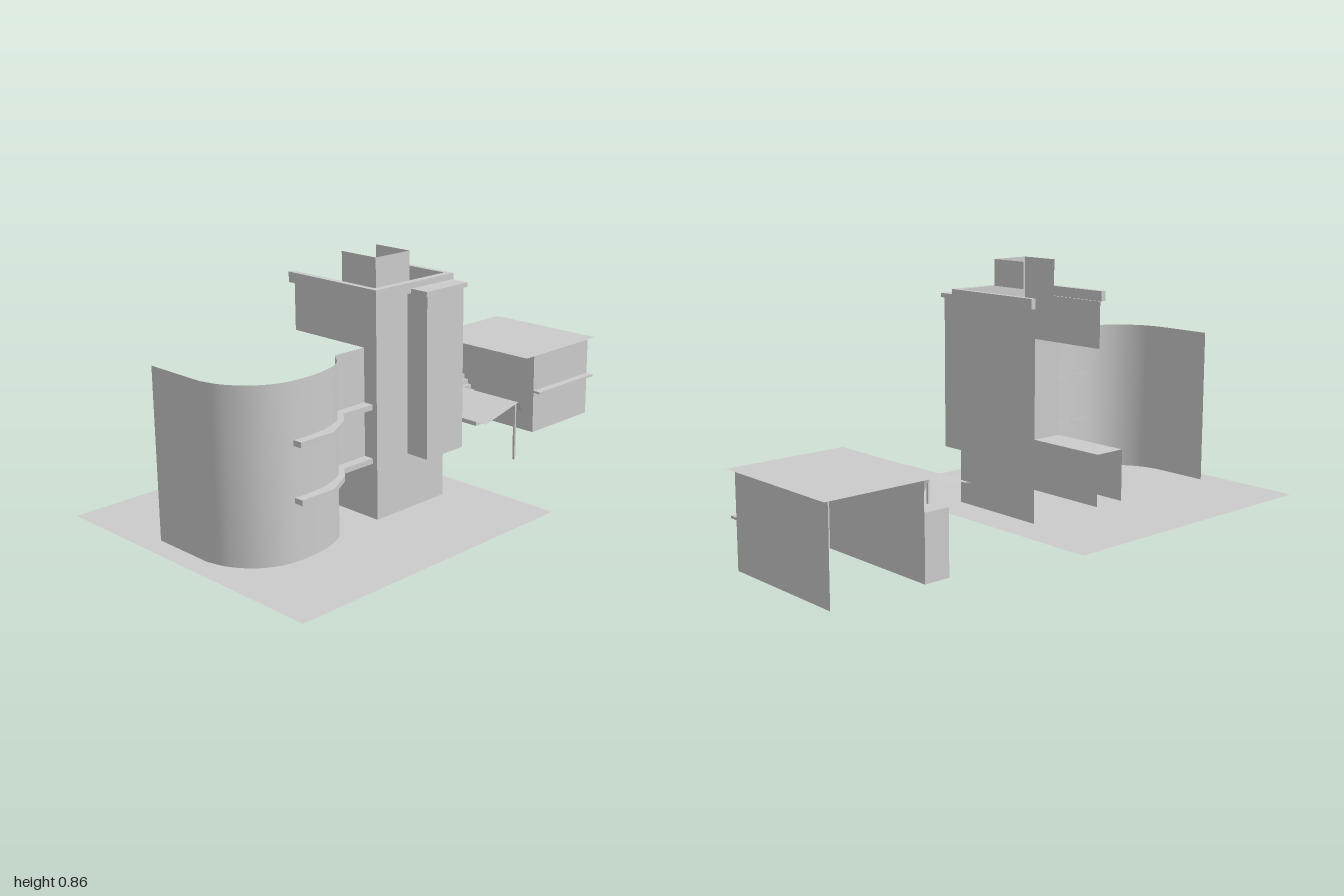
import * as THREE from 'three';

const mat = new THREE.MeshStandardMaterial({ color: 0xcccccc, side: THREE.DoubleSide });

function add(parent, name, geometry) {
  const mesh = new THREE.Mesh(geometry, mat);
  mesh.name = name;
  parent.add(mesh);
  return mesh;
}

// Box given by its min and max on each axis
function box(parent, name, x0, x1, y0, y1, z0, z1) {
  const g = new THREE.BoxGeometry(x1 - x0, y1 - y0, z1 - z0);
  g.translate((x0 + x1) / 2, (y0 + y1) / 2, (z0 + z1) / 2);
  return add(parent, name, g);
}

// Vertical sheet following a plan line of [x, z] points
function wall(parent, name, plan, y0, y1) {
  const pos = [], idx = [];
  plan.forEach(([x, z], i) => {
    pos.push(x, y0, z, x, y1, z);
    const a = i * 2;
    if (i < plan.length - 1) idx.push(a, a + 2, a + 1, a + 1, a + 2, a + 3);
  });
  const g = new THREE.BufferGeometry();
  g.setAttribute('position', new THREE.Float32BufferAttribute(pos, 3));
  g.setIndex(idx);
  g.computeVertexNormals();
  return add(parent, name, g);
}

// Horizontal sheet
function sheet(parent, name, x0, x1, z0, z1, y) {
  const g = new THREE.PlaneGeometry(x1 - x0, z1 - z0).rotateX(-Math.PI / 2);
  g.translate((x0 + x1) / 2, y, (z0 + z1) / 2);
  return add(parent, name, g);
}

function group(parent, name) {
  const g = new THREE.Group();
  g.name = name;
  parent.add(g);
  return g;
}

function buildTower(root) {
  const t = group(root, 'tower');
  const L = -0.35, R = -0.04, B = -0.195, F = 0.18, bayL = -0.21, bayF = 0.265;
  const low = 0.19, eave = 0.73, wingTop = 0.565;
  wall(t, 'rightWall', [[R, B], [R, F]], 0, eave);
  wall(t, 'frontWallLower', [[L, F], [R, F]], 0, low);
  wall(t, 'frontWallUpper', [[L, F], [bayL, F]], low, eave);
  wall(t, 'leftWallUpper', [[L, B], [L, F]], wingTop, eave);
  wall(t, 'leftWallReturn', [[L, 0.125], [L, F]], 0, wingTop);

  // Projecting bay, open to the inside
  wall(t, 'baySideLeft', [[bayL, F], [bayL, bayF]], low, eave);
  wall(t, 'bayFront', [[bayL, bayF], [R, bayF]], low, eave);
  wall(t, 'baySideRight', [[R, F], [R, bayF]], low, eave);
  sheet(t, 'bayFloor', bayL, R, F, bayF, low);
  box(t, 'bayCap', -0.22, -0.03, eave, 0.745, F, 0.272);

  // Cornice on three sides
  box(t, 'corniceLeft', -0.375, -0.355, eave, 0.765, B, 0.205);
  box(t, 'corniceRight', R, -0.022, eave, 0.765, B, 0.205);
  box(t, 'corniceFront', -0.355, R, eave, 0.765, F, 0.205);

  // Roof turret, open at the back
  wall(t, 'turretLeft', [[L, 0.03], [L, F]], eave, 0.86);
  wall(t, 'turretFront', [[L, F], [-0.2, F]], eave, 0.86);
  wall(t, 'turretRight', [[-0.2, F], [-0.2, 0.03]], 0.765, 0.86);
}

function buildWing(root) {
  const w = group(root, 'wing');
  // Link wall above an open passage
  wall(w, 'linkWall', [[-0.475, 0.125], [-0.35, 0.125]], 0.19, 0.565);
  for (const x of [-0.475, -0.35]) wall(w, 'passageWall', [[x, -0.195], [x, 0.125]], 0, 0.19);
  sheet(w, 'passageCeiling', -0.475, -0.35, -0.195, 0.125, 0.19);

  // Rounded wall
  const ctrl = [[-0.93, 0.04], [-0.91, 0.11], [-0.86, 0.18], [-0.79, 0.223],
    [-0.71, 0.235], [-0.62, 0.226], [-0.53, 0.19], [-0.475, 0.125]];
  const curve = new THREE.CatmullRomCurve3(ctrl.map(([x, z]) => new THREE.Vector3(x, 0, z)));
  const plan = curve.getPoints(32).map(p => [p.x, p.z]);
  wall(w, 'roundedWall', [[-0.93, -0.19], ...plan], 0, 0.565);

  // Balcony ledges
  const ledge = new THREE.Shape([[-0.745, 0.232], [-0.62, 0.23], [-0.53, 0.19], [-0.475, 0.125],
    [-0.35, 0.125], [-0.35, 0.16], [-0.475, 0.16], [-0.52, 0.21], [-0.615, 0.265], [-0.745, 0.265],
  ].map(([x, z]) => new THREE.Vector2(x, z)));
  for (const top of [0.205, 0.385]) {
    const g = new THREE.ExtrudeGeometry(ledge, { depth: 0.018, bevelEnabled: false });
    g.rotateX(Math.PI / 2);
    add(w, 'balconyLedge', g).position.y = top;
  }
}

function buildCanopy(root) {
  const c = group(root, 'canopy');
  // Two-pitch roof folded along z
  const profile = [[0.21, 0.18], [0.388, 0.221], [0.412, 0.18]];
  const roof = wall(c, 'canopyRoof', profile.slice(0, 2), -0.16, 0.155);
  const lip = wall(c, 'canopyLip', profile.slice(1), -0.16, 0.155);
  for (const m of [roof, lip]) {
    const p = m.geometry.attributes.position;
    for (let i = 0; i < p.count; i++) p.setXYZ(i, p.getX(i), p.getZ(i), p.getY(i));
    m.geometry.computeVertexNormals();
  }
  for (const z of [-0.145, 0.145]) box(c, 'canopyPost', 0.377, 0.384, 0.005, 0.218, z - 0.004, z + 0.004);
}

function buildShed(root) {
  const s = group(root, 'shed');
  wall(s, 'shedWalls', [[0.65, -0.455], [0.65, 0.015]], 0.01, 0.32).name = 'shedLeftWall';
  wall(s, 'shedFrontWall', [[0.65, 0.015], [0.985, 0.015]], 0.01, 0.32);
  wall(s, 'shedRightWall', [[0.985, 0.015], [0.985, -0.455]], 0.01, 0.32);
  sheet(s, 'shedRoof', 0.575, 1, -0.46, 0.04, 0.322);
  box(s, 'shedLedge', 0.65, 0.985, 0.167, 0.175, 0.015, 0.045);

  // Side stair with a landing at the back
  const n = 12, zTop = -0.385, zEnd = -0.19, y0 = 0.01, y1 = 0.225;
  const shape = new THREE.Shape();
  shape.moveTo(0.455, y0);
  shape.lineTo(0.455, y1);
  for (let i = 0; i < n; i++) {
    const z = zTop + (zEnd - zTop) * i / (n - 1);
    shape.lineTo(-z, y1 - (y1 - y0) * i / n);
    shape.lineTo(-z, y1 - (y1 - y0) * (i + 1) / n);
  }
  const g = new THREE.ExtrudeGeometry(shape, { depth: 0.092, bevelEnabled: false });
  g.rotateY(Math.PI / 2);
  add(s, 'sideStair', g).position.x = 0.557;
}

export function createModel() {
  const root = new THREE.Group();
  root.name = 'buildingSet';
  sheet(root, 'groundSlab', -1, 0.09, -0.55, 0.545, 0);
  buildTower(root);
  buildWing(root);
  buildCanopy(root);
  buildShed(root);
  return root;
}
